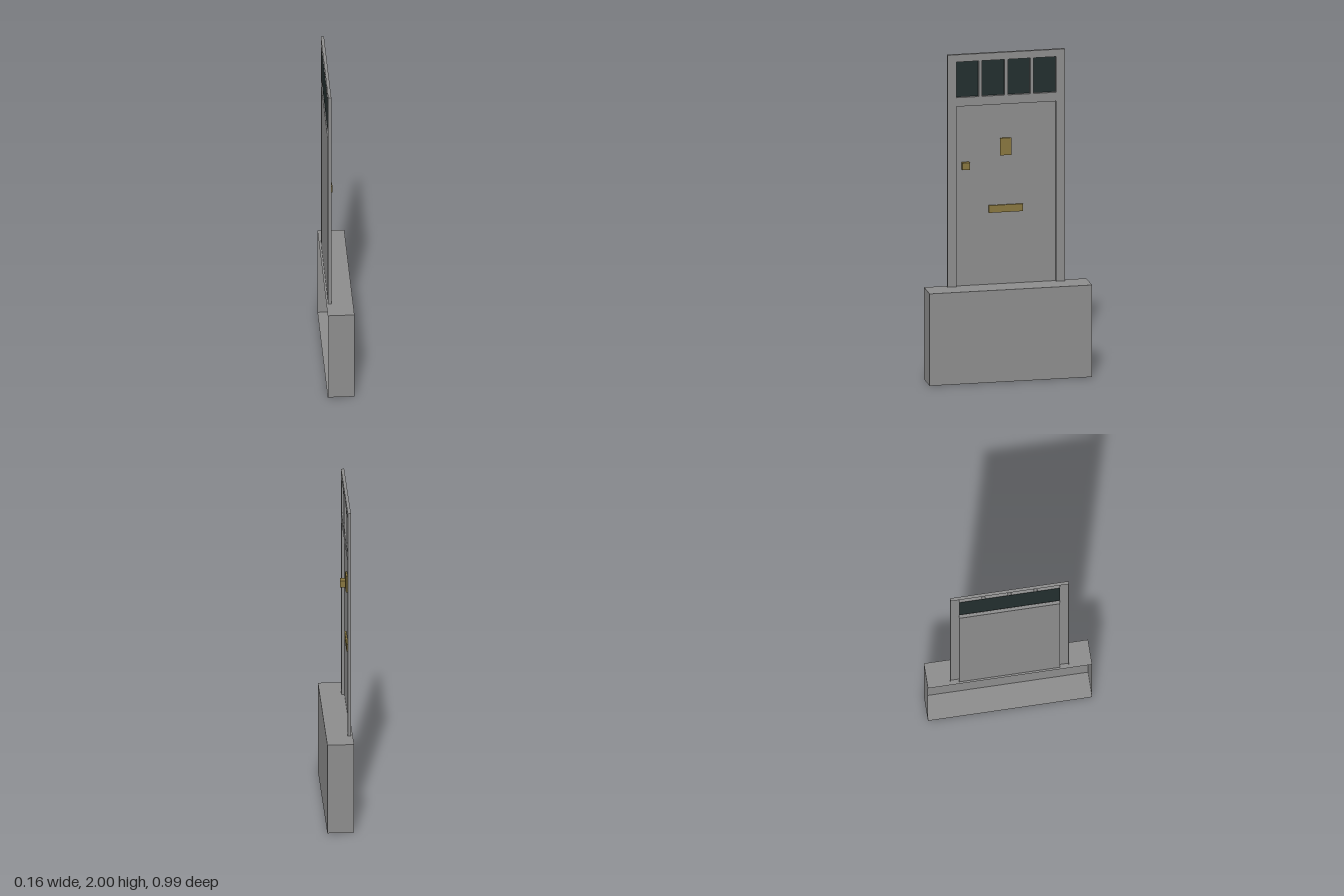
import * as THREE from 'three';

const grey = new THREE.MeshStandardMaterial({ color: 0x8c8c8c, side: THREE.DoubleSide });
grey.name = 'stone grey';
const brass = new THREE.MeshStandardMaterial({ color: 0x87753f });
brass.name = 'brass';
const glass = new THREE.MeshStandardMaterial({ color: 0x222e2e, side: THREE.DoubleSide });
glass.name = 'dark glass';

const STEP_TOP = 0.568;
const BACK = -0.069, FRONT = -0.05;   // depth of the door frame along x
const HALF = 0.358, OPENING = 0.305;  // half widths along z

// Remove the faces that look towards -x, leaving an open-backed shell
function openBack(geometry) {
  const g = geometry.index ? geometry.toNonIndexed() : geometry;
  const p = g.attributes.position, n = g.attributes.normal;
  const points = [];
  for (let i = 0; i < p.count; i += 3) {
    if (n.getX(i) < -0.9) continue;
    for (let k = i; k < i + 3; k++) points.push(p.getX(k), p.getY(k), p.getZ(k));
  }
  const shell = new THREE.BufferGeometry();
  shell.setAttribute('position', new THREE.Float32BufferAttribute(points, 3));
  shell.computeVertexNormals();
  return shell;
}

// Box given by its limits on each axis
function box(x0, x1, y0, y1, z0, z1) {
  return new THREE.BoxGeometry(x1 - x0, y1 - y0, z1 - z0)
    .translate((x0 + x1) / 2, (y0 + y1) / 2, (z0 + z1) / 2);
}

// Flat panel facing +x
function panel(x, y0, y1, halfWidth) {
  return new THREE.PlaneGeometry(halfWidth * 2, y1 - y0)
    .rotateY(Math.PI / 2).translate(x, (y0 + y1) / 2, 0);
}

export function createModel() {
  const group = new THREE.Group();
  const add = (name, geometry, material) => {
    const mesh = new THREE.Mesh(geometry, material);
    mesh.name = name;
    group.add(mesh);
  };

  // Doorstep, hollow behind
  add('doorstep', openBack(box(-0.08, 0.08, 0, STEP_TOP, -0.496, 0.496)), grey);

  // Frame with a doorway and four transom lights, hollow behind
  const outline = new THREE.Shape([
    [-HALF, STEP_TOP], [-OPENING, STEP_TOP], [-OPENING, 1.68], [OPENING, 1.68],
    [OPENING, STEP_TOP], [HALF, STEP_TOP], [HALF, 2], [-HALF, 2],
  ].map(([x, y]) => new THREE.Vector2(x, y)));
  const bar = 0.02, pane = (OPENING * 2 - bar * 3) / 4;
  for (let i = 0; i < 4; i++) {
    const a = -OPENING + i * (pane + bar), b = a + pane;
    outline.holes.push(new THREE.Path([
      new THREE.Vector2(a, 1.735), new THREE.Vector2(a, 1.955),
      new THREE.Vector2(b, 1.955), new THREE.Vector2(b, 1.735),
    ]));
  }
  const frame = new THREE.ExtrudeGeometry(outline, { depth: FRONT - BACK, bevelEnabled: false })
    .rotateY(Math.PI / 2).translate(BACK, 0, 0);
  add('doorFrame', openBack(frame), grey);

  // Door leaf and transom glass at the back of the frame
  add('doorLeaf', panel(BACK + 0.001, STEP_TOP, 1.68, OPENING), grey);
  add('transomGlass', panel(BACK + 0.001, 1.735, 1.955, OPENING), glass);

  // Brass fittings
  const face = BACK + 0.002;
  add('knocker', box(face, -0.057, 1.362, 1.468, -0.035, 0.035), brass);
  add('letterPlate', box(face, -0.057, 1.011, 1.056, -0.104, 0.104), brass);
  add('doorKnob', box(face, -0.038, 1.289, 1.332, 0.225, 0.27), brass);

  return group;
}
